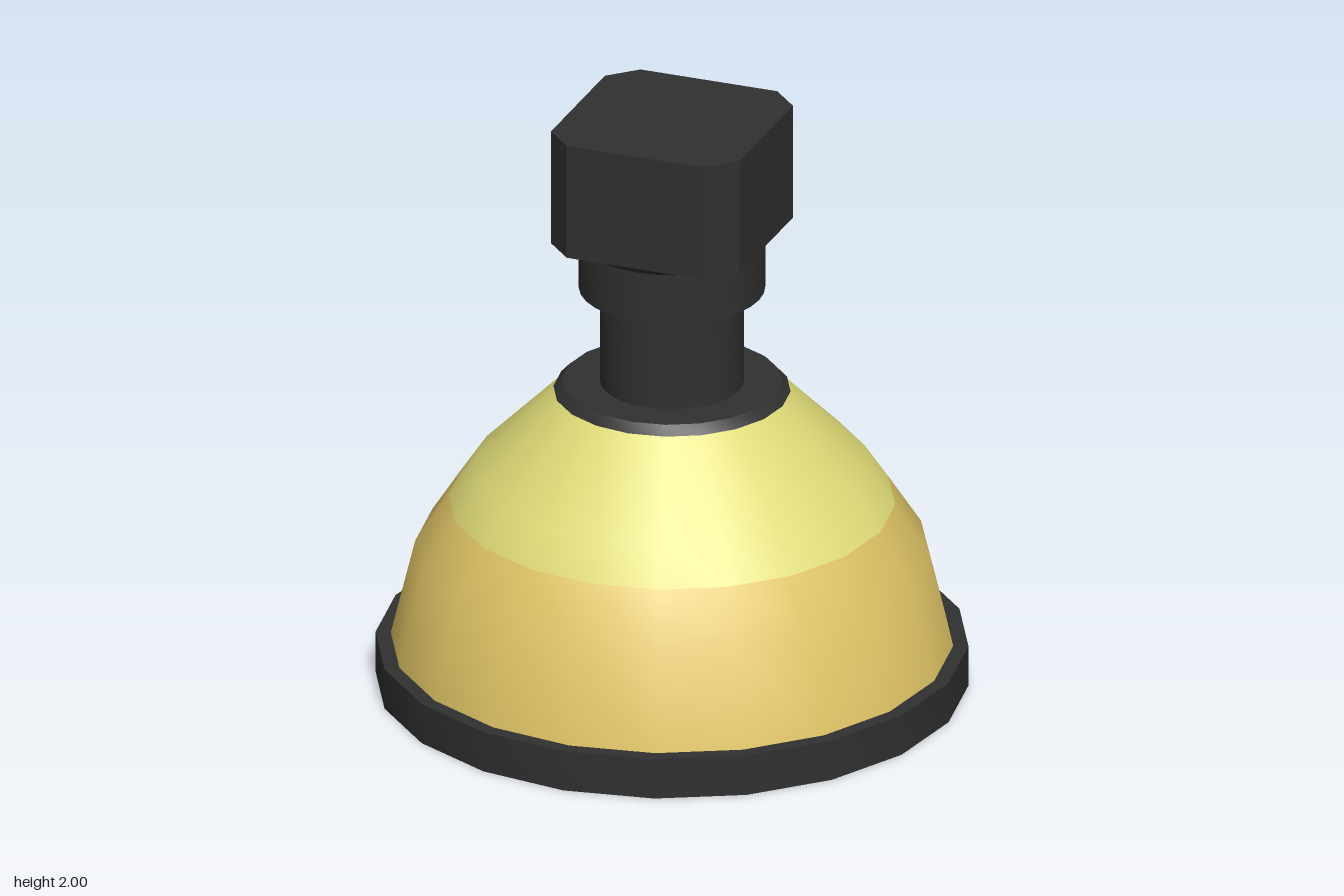
import * as THREE from 'three';
import { toCreasedNormals } from 'three/addons/utils/BufferGeometryUtils.js';

const SIDES = 20;

export function createModel() {
  const group = new THREE.Group();
  const material = (name, color) => {
    const m = new THREE.MeshStandardMaterial({ color });
    m.name = name;
    return m;
  };
  const black = material('black plastic', 0x303030);
  const yellow = material('pale yellow', 0xe0dc78);
  const amber = material('amber', 0xe0c566);

  const add = (name, geometry, mat) => {
    const mesh = new THREE.Mesh(geometry, mat);
    mesh.name = name;
    group.add(mesh);
    return mesh;
  };
  // Turned part: profile of [radius, height], outer side running upward
  const turn = (name, profile, mat, sides = SIDES) => {
    const points = profile.map(([r, y]) => new THREE.Vector2(r, y));
    return add(name, toCreasedNormals(new THREE.LatheGeometry(points, sides), 0.6), mat);
  };

  // Rim around the opening
  turn('rim', [[0.97, 0], [0.97, 0.14], [0.88, 0.14], [0.88, 0], [0.97, 0]], black);

  // Lens closing the underside, slightly domed
  turn('lensCentre', [[0, 0.085], [0.52, 0.08]], yellow);
  turn('lensEdge', [[0.52, 0.08], [0.885, 0.065]], amber);

  // Bell-shaped shade in two colours
  turn('lowerShade', [[0.92, 0.14], [0.84, 0.47], [0.73, 0.64]], amber);
  turn('upperShade', [[0.73, 0.64], [0.65, 0.76], [0.375, 1.035]], yellow);

  // Cap, neck and collar
  turn('cap', [[0.375, 1.03], [0.388, 1.035], [0.36, 1.065], [0, 1.065]], black);
  turn('neck', [[0.235, 1.06], [0.235, 1.42]], black, 32);
  turn('collar', [[0.235, 1.4], [0.305, 1.4], [0.305, 1.575], [0.33, 1.605]], black, 32);

  // Square block with chamfered corners
  const a = 0.33, c = 0.24;
  const outline = [[a, -c], [a, c], [c, a], [-c, a], [-a, c], [-a, -c], [-c, -a], [c, -a]];
  const shape = new THREE.Shape(outline.map(([x, y]) => new THREE.Vector2(x, y)));
  const block = new THREE.ExtrudeGeometry(shape, { depth: 0.4, bevelEnabled: false });
  block.rotateX(-Math.PI / 2).translate(0, 1.6, 0);
  add('topBlock', block, black);

  return group;
}
